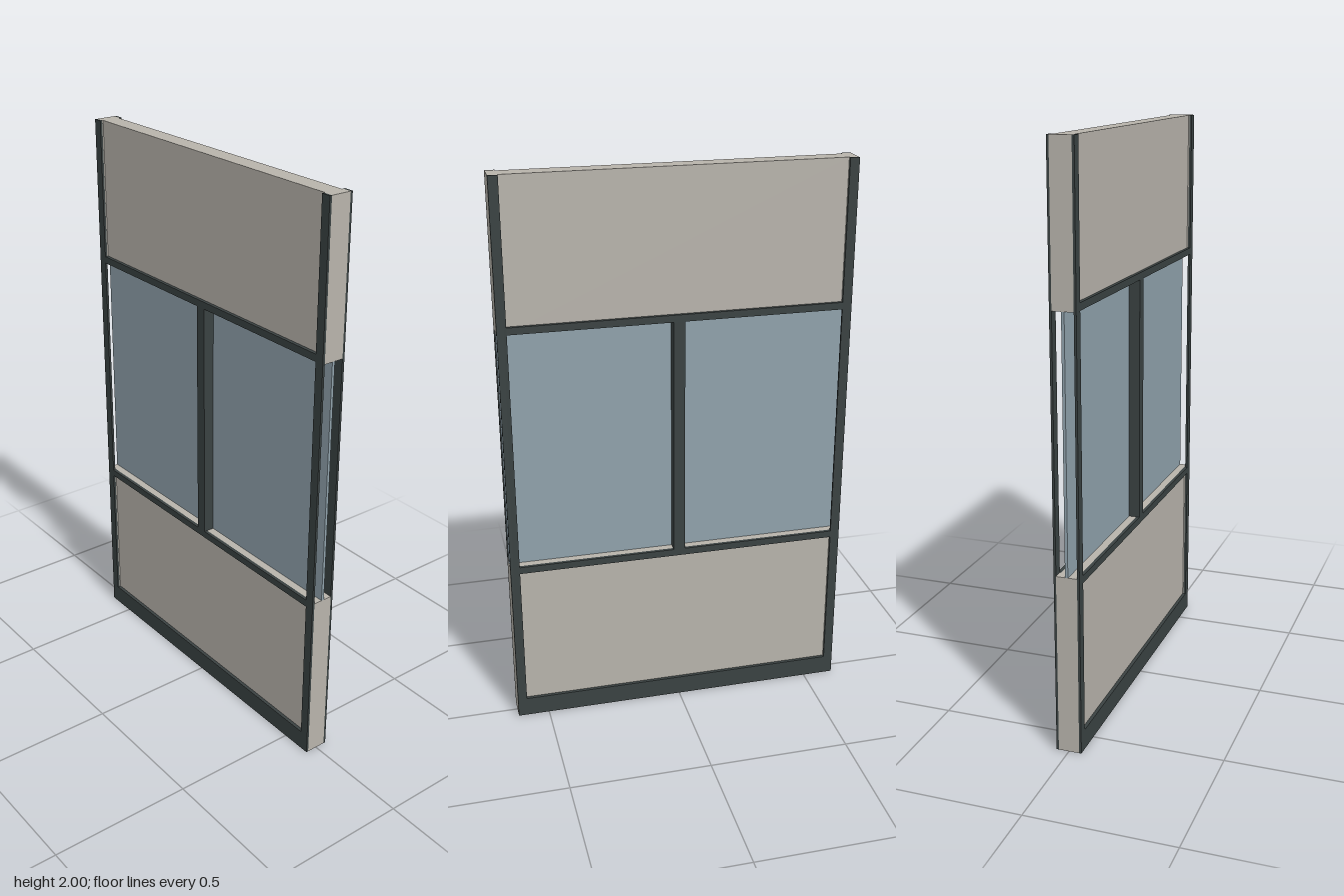
import * as THREE from 'three';

export function createModel() {
  const group = new THREE.Group();
  group.name = 'windowWallPanel';
  const beige = new THREE.MeshStandardMaterial({ name: 'beige panel', color: 0xb8b4ac });
  const dark = new THREE.MeshStandardMaterial({ name: 'dark frame', color: 0x3a4242 });
  const blue = new THREE.MeshStandardMaterial({ name: 'blue glass', color: 0x90a2ac });

  // Box given by its minimum and maximum on each axis
  function box(name, material, [x0, x1], [y0, y1], [z0, z1]) {
    const mesh = new THREE.Mesh(new THREE.BoxGeometry(x1 - x0, y1 - y0, z1 - z0), material);
    mesh.position.set((x0 + x1) / 2, (y0 + y1) / 2, (z0 + z1) / 2);
    mesh.name = name;
    group.add(mesh);
  }

  const outer = 0.044, core = 0.032, edge = 0.036;
  const halfWidth = 0.613, inner = 0.58;
  const sill = 0.62, head = 1.48;

  // Solid wall below and above the window, slightly thicker at both ends
  for (const [name, y] of [['lowerWall', [0, sill]], ['upperWall', [head, 2]]]) {
    box(name, beige, [-core, core], y, [-inner, inner]);
    box(name + 'LeftEnd', beige, [-edge, edge], y, [inner, halfWidth]);
    box(name + 'RightEnd', beige, [-edge, edge], y, [-halfWidth, -inner]);
  }

  // Glass pane with the central mullion
  box('glass', blue, [-0.005, 0.005], [sill, head], [-halfWidth, halfWidth]);
  box('mullion', dark, [-outer, outer], [sill, head], [-0.02, 0.02]);

  // Frame strips on both faces
  for (const side of [-1, 1]) {
    const span = (a) => (side > 0 ? [a, outer] : [-outer, -a]);
    box('post', dark, span(edge), [0, 2], [inner, halfWidth]);
    box('post', dark, span(edge), [0, 2], [-halfWidth, -inner]);
    box('baseRail', dark, span(core), [0, 0.07], [-inner, inner]);
    box('sillRail', dark, span(core), [0.595, sill], [-inner, inner]);
    box('headRail', dark, span(core), [head, 1.505], [-inner, inner]);
  }
  return group;
}
